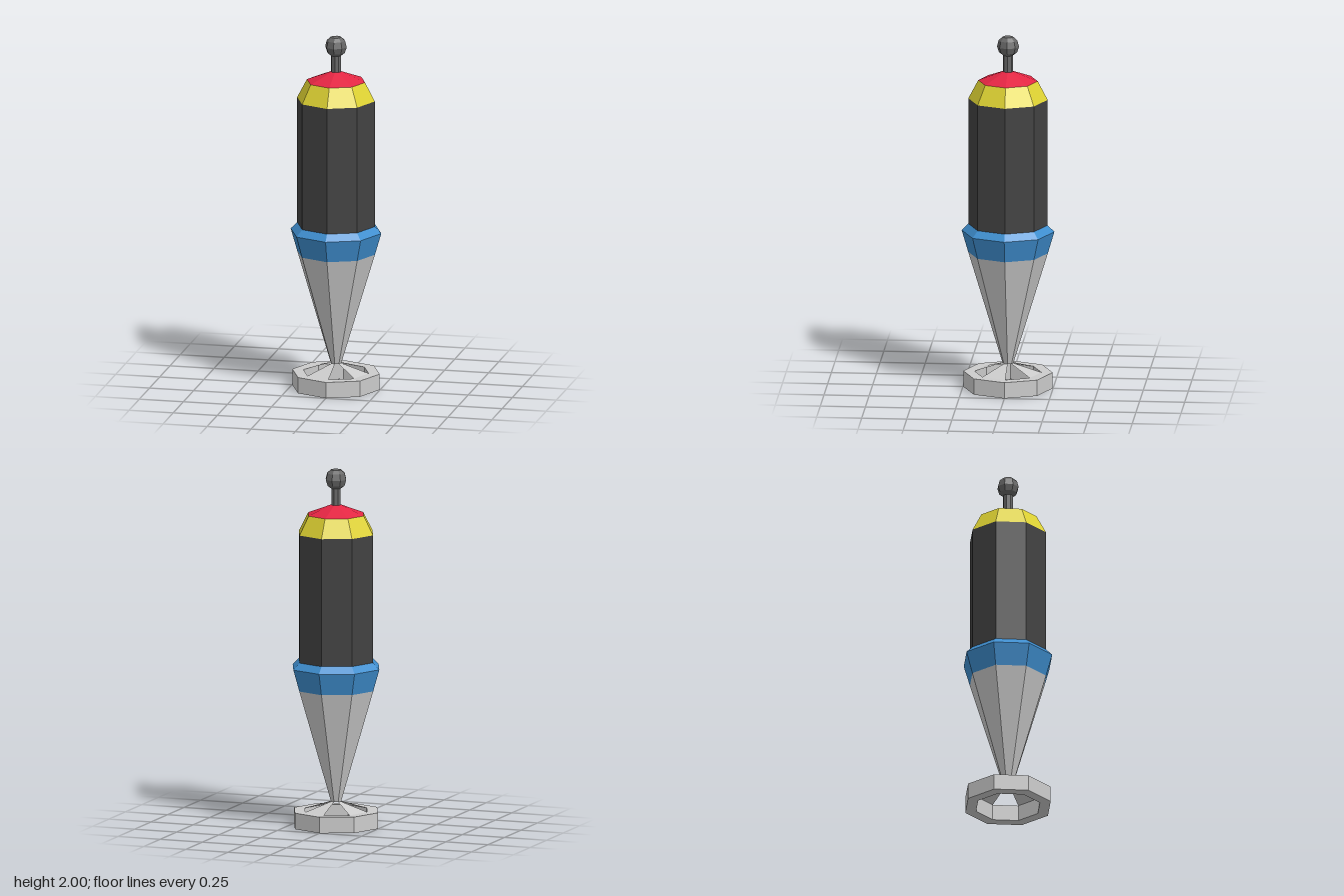
import * as THREE from 'three';

const SIDES = 8;

function makeMaterial(name, color) {
  const m = new THREE.MeshStandardMaterial({ color, flatShading: true, side: THREE.DoubleSide });
  m.name = name;
  return m;
}

export function createModel() {
  const group = new THREE.Group();
  group.name = 'model';

  const lightGrey = makeMaterial('light grey', 0xcccccc);
  const blue = makeMaterial('blue', 0x3f8fd0);
  const charcoal = makeMaterial('charcoal', 0x424242);
  const yellow = makeMaterial('yellow', 0xe0d433);
  const red = makeMaterial('red', 0xe32643);
  const midGrey = makeMaterial('mid grey', 0x676767);

  // Octagonal turned part from [radius, height] pairs, bottom to top
  function turned(name, material, profile, start = 0, arc = Math.PI * 2, segments = SIDES) {
    const points = profile.map(([r, y]) => new THREE.Vector2(r, y));
    const mesh = new THREE.Mesh(new THREE.LatheGeometry(points, segments, start, arc), material);
    mesh.name = name;
    group.add(mesh);
  }

  // Base ring
  turned('baseRing', lightGrey, [[0.185, 0], [0.248, 0], [0.248, 0.09], [0.185, 0.09], [0.185, 0]]);

  // Four sloping panels between ring and hub, with open gaps between them
  for (let i = 0; i < 4; i++) {
    turned('baseSpoke', lightGrey, [[0.185, 0.09], [0.03, 0.14]],
      Math.PI / 4 + i * Math.PI / 2, Math.PI / 4, 1);
  }

  // Tapered lower body and flared collar
  turned('lowerCone', lightGrey, [[0, 0.14], [0.03, 0.14], [0.221, 0.77]]);
  turned('collar', blue, [[0.221, 0.77], [0.257, 0.893], [0.22, 0.93]]);

  // Main body, shoulder and cap
  turned('body', charcoal, [[0.22, 0.93], [0.22, 1.645]]);
  turned('shoulder', yellow, [[0.22, 1.645], [0.165, 1.75]]);
  turned('cap', red, [[0.165, 1.75], [0, 1.814]]);

  // Stem and knob
  turned('stem', midGrey, [[0.028, 1.795], [0.028, 1.9]]);
  turned('knob', midGrey, [[0.028, 1.895], [0.05, 1.912], [0.061, 1.945], [0.052, 1.98], [0.03, 2], [0, 2]]);

  return group;
}
